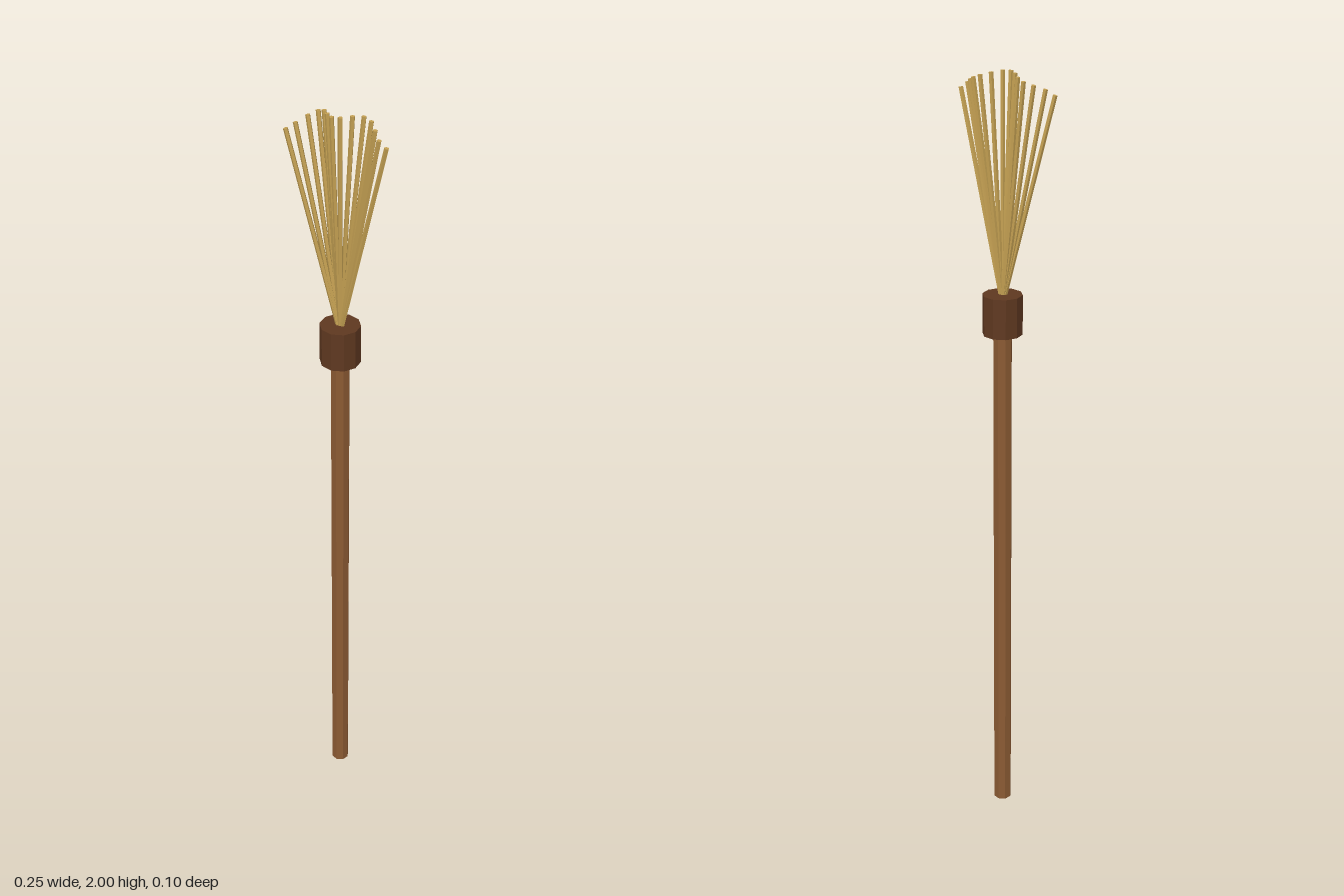
import * as THREE from 'three';

const material = (color) => new THREE.MeshStandardMaterial({ color, flatShading: true });

// Upright cylinder between two heights
function post(name, radius, y0, y1, sides, mat) {
  const mesh = new THREE.Mesh(new THREE.CylinderGeometry(radius, radius, y1 - y0, sides), mat);
  mesh.name = name;
  mesh.position.y = (y0 + y1) / 2;
  return mesh;
}

// Thin stick running from one point to another
function stick(name, from, to, radius, mat) {
  const dir = to.clone().sub(from);
  const mesh = new THREE.Mesh(new THREE.CylinderGeometry(radius, radius, dir.length(), 5), mat);
  mesh.name = name;
  mesh.position.copy(from).add(to).multiplyScalar(0.5);
  mesh.quaternion.setFromUnitVectors(new THREE.Vector3(0, 1, 0), dir.normalize());
  return mesh;
}

export function createModel() {
  const group = new THREE.Group();
  group.name = 'broom';

  // Handle and the binding that holds the bristles
  group.add(post('handle', 0.024, 0, 1.4, 8, material(0x8b5a33)));
  group.add(post('binding', 0.05, 1.365, 1.466, 10, material(0x5f3820)));

  // Flat fan of bristles, swaying slightly forward and back
  const bristles = new THREE.Group();
  bristles.name = 'bristles';
  const straw = material(0xc4a052);
  const count = 14;
  for (let i = 0; i < count; i++) {
    const t = (i / (count - 1)) * 2 - 1;
    const base = new THREE.Vector3(0, 1.44, 0);
    const tip = new THREE.Vector3(t * 0.122, 1.999 - 0.048 * t * t, 0.025 * Math.cos(i));
    bristles.add(stick('bristle', base, tip, 0.0058, straw));
  }
  group.add(bristles);
  return group;
}
